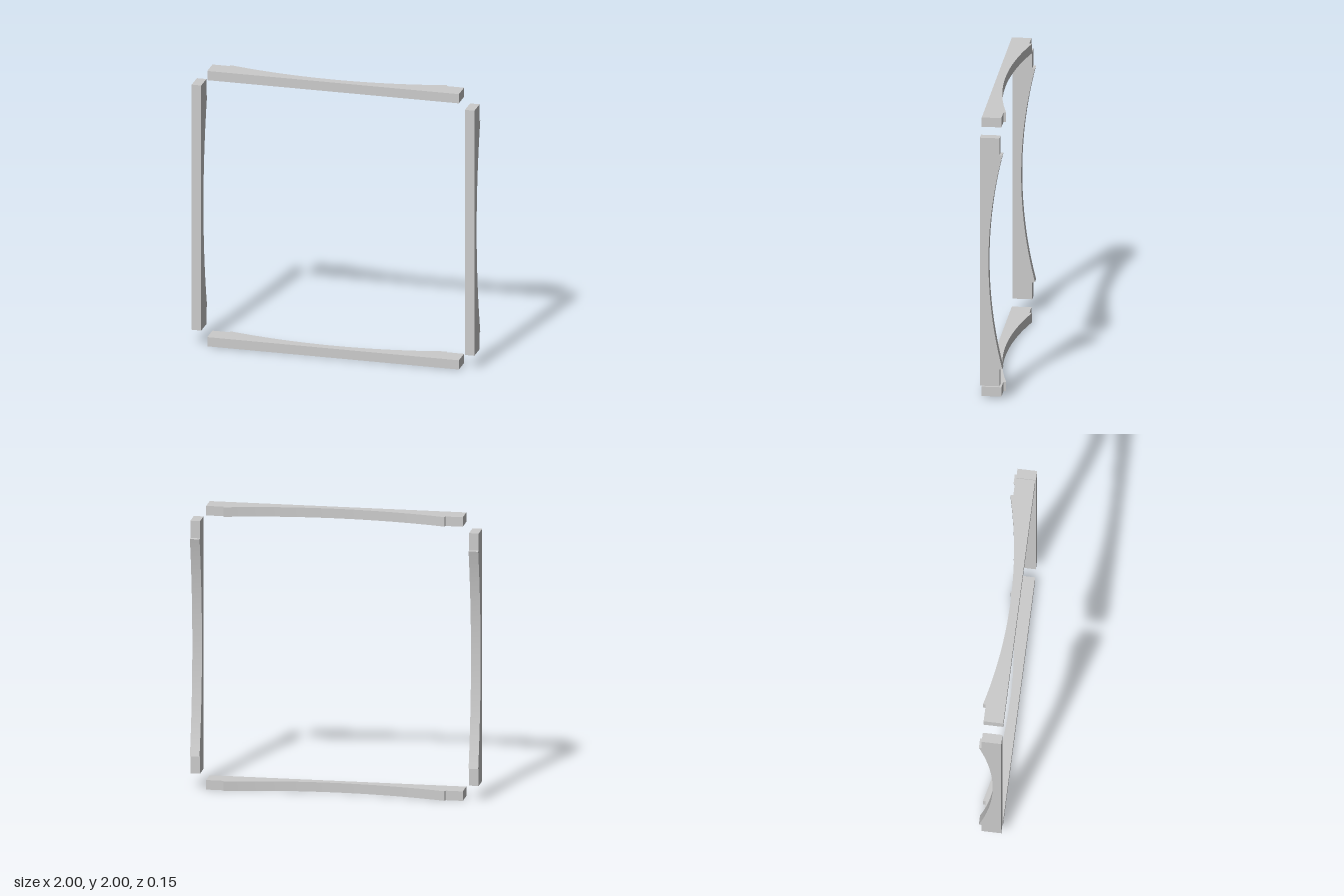
import * as THREE from 'three';
import { toCreasedNormals } from 'three/addons/utils/BufferGeometryUtils.js';

const HALF = 0.89;      // half length of a rail
const THICK = 0.067;    // rail thickness
const FRONT = 0.077;    // flat front face
const END_BACK = -0.058; // back face of the end blocks
const TIP_X = 0.766, TIP_Z = -0.077; // ends of the curved back
const MID_Z = 0.018;    // back face at mid-length

// Rail lying along x: flat in front, concave arc behind, stepped down at the ends
function railGeometry() {
  const sag = MID_Z - TIP_Z;
  const radius = (TIP_X * TIP_X + sag * sag) / (2 * sag);
  const angle = Math.asin(TIP_X / radius);
  const s = new THREE.Shape();
  s.moveTo(HALF, FRONT);
  s.lineTo(-HALF, FRONT);
  s.lineTo(-HALF, END_BACK);
  s.lineTo(-TIP_X - 0.003, END_BACK);
  s.absarc(0, MID_Z - radius, radius, Math.PI / 2 + angle, Math.PI / 2 - angle, true);
  s.lineTo(TIP_X + 0.003, END_BACK);
  s.lineTo(HALF, END_BACK);
  s.closePath();
  const g = new THREE.ExtrudeGeometry(s, { depth: THICK, bevelEnabled: false, curveSegments: 32 });
  g.translate(0, 0, -THICK / 2);
  g.rotateX(Math.PI / 2); // profile height becomes z
  return toCreasedNormals(g, 0.3);
}

export function createModel() {
  const group = new THREE.Group();
  group.name = 'frame';
  const material = new THREE.MeshStandardMaterial({ color: 0xcccccc });
  const geometry = railGeometry();
  const offset = 1 - THICK / 2;

  // Four identical rails around the square, with open corners
  const rails = [
    ['topRail', 0, 1 + offset, 0],
    ['bottomRail', 0, 1 - offset, 0],
    ['leftRail', offset, 1, Math.PI / 2],
    ['rightRail', -offset, 1, Math.PI / 2],
  ];
  for (const [name, x, y, turn] of rails) {
    const rail = new THREE.Mesh(geometry, material);
    rail.name = name;
    rail.position.set(x, y, 0);
    rail.rotation.z = turn;
    group.add(rail);
  }
  return group;
}
